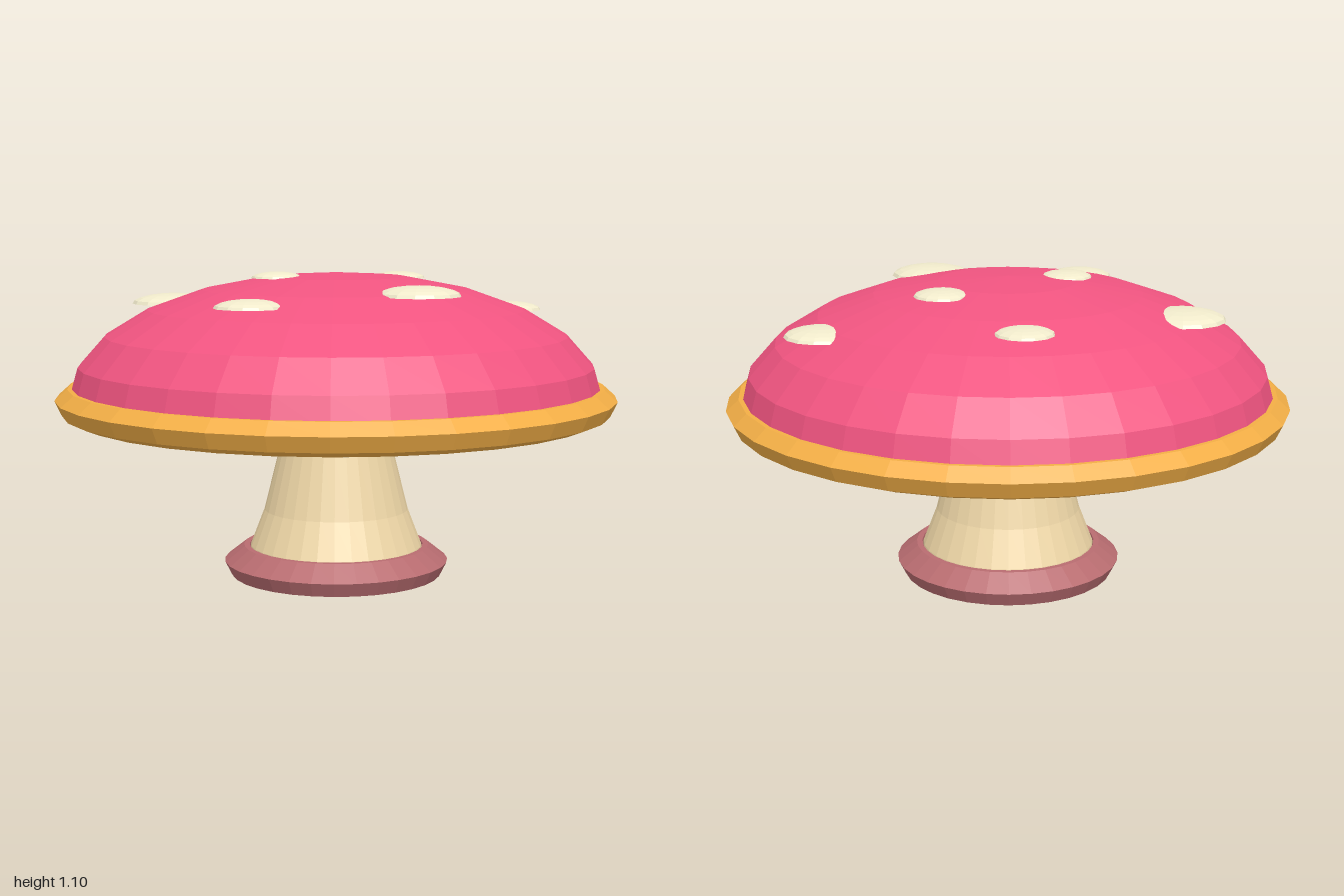
import * as THREE from 'three';

const SIDES = 32;
const CAP = { radius: 0.95, height: 0.44, base: 0.65 };

const paint = (color, side = THREE.FrontSide) =>
  new THREE.MeshStandardMaterial({ color, flatShading: true, side });

// Turned part from [radius, y] pairs, listed so the outside faces out
function turned(name, color, profile, side) {
  const points = profile.map(([r, y]) => new THREE.Vector2(r, y));
  const mesh = new THREE.Mesh(new THREE.LatheGeometry(points, SIDES), paint(color, side));
  mesh.name = name;
  return mesh;
}

// Height of the cap surface at a distance from the axis
const capY = (r) => CAP.base + CAP.height * Math.sqrt(1 - (r / CAP.radius) ** 2);

// Flattened dome with a flat underside, half sunk into the cap
function makeSpot(x, z, r, material) {
  const spot = new THREE.Group();
  spot.name = 'spot';
  const dome = new THREE.Mesh(
    new THREE.SphereGeometry(r, 14, 5, 0, Math.PI * 2, 0, Math.PI / 2), material);
  dome.name = 'spotDome';
  dome.scale.y = 0.25;
  const under = new THREE.Mesh(new THREE.CircleGeometry(r, 14), material);
  under.name = 'spotUnderside';
  under.rotation.x = Math.PI / 2;
  spot.add(dome, under);
  const d = Math.hypot(x, z);
  spot.position.set(x, capY(d) - 0.025 * d, z);
  return spot;
}

export function createModel() {
  const model = new THREE.Group();
  model.name = 'mushroom';

  // Foot ring with a shallow recess around the stem
  model.add(turned('foot', 0xb86c70, [
    [0, 0], [0.38, 0], [0.405, 0.05], [0.335, 0.105], [0.315, 0.105], [0.3, 0.05],
  ], THREE.DoubleSide));

  // Waisted stem flaring out under the cap
  model.add(turned('stem', 0xf0d8a8, [
    [0.32, 0.05], [0.31, 0.105], [0.26, 0.235], [0.205, 0.455], [0.28, 0.575],
  ]));

  // Underside of the cap
  model.add(turned('gills', 0xc4a188, [[0, 0.565], [0.83, 0.565], [0.935, 0.58]]));

  // Bevelled band around the cap edge
  model.add(turned('rim', 0xf2ae46, [
    [0.925, 0.577], [0.975, 0.597], [1, 0.65], [0.955, 0.69], [0.9, 0.69],
  ]));

  // Domed cap: a quarter ellipse turned about the axis
  const arc = [];
  for (let i = 6; i >= 0; i--) {
    const a = (i / 6) * Math.PI / 2;
    arc.push([CAP.radius * Math.sin(a), CAP.base + CAP.height * Math.cos(a)]);
  }
  model.add(turned('cap', 0xf05480, arc));

  // Pale spots: x, z, radius
  const spots = new THREE.Group();
  spots.name = 'spots';
  const cream = paint(0xf0eacb);
  for (const [x, z, r] of [
    [0.25, -0.64, 0.13], [-0.41, -0.34, 0.1], [0.015, -0.305, 0.097],
    [0.445, 0.045, 0.145], [-0.1, 0.195, 0.09], [-0.54, 0.31, 0.15], [0.14, 0.53, 0.12],
  ]) spots.add(makeSpot(x, z, r, cream));
  model.add(spots);

  return model;
}
